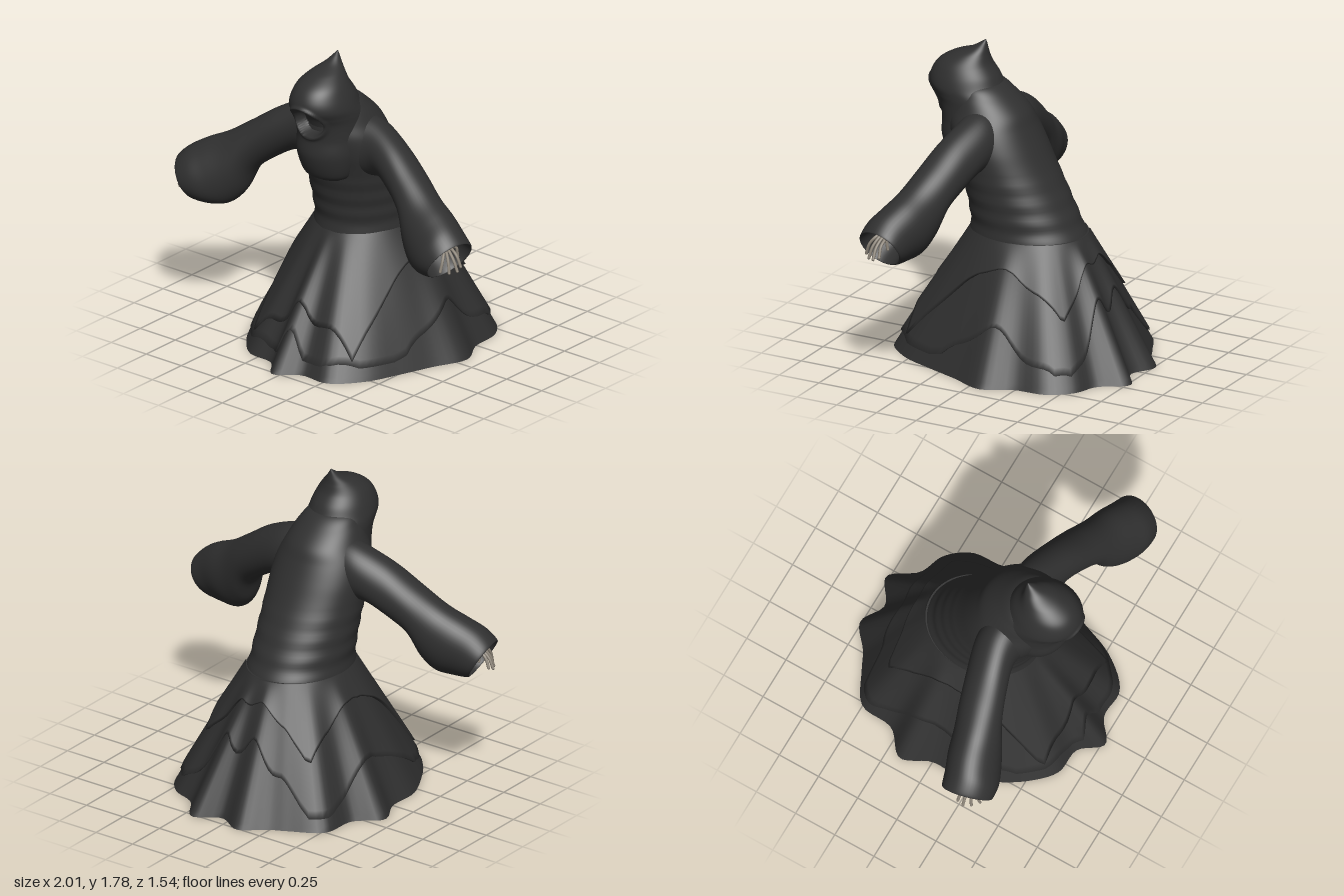
import * as THREE from 'three';

const V = (x, y, z) => new THREE.Vector3(x, y, z);
const COLS = 128;

// Skin over closed rings of points, with optional flat end caps
function loft(rings, capStart, capEnd) {
  const n = rings[0].length, pos = [], idx = [];
  rings.forEach(r => r.forEach(p => pos.push(p.x, p.y, p.z)));
  for (let i = 0; i < rings.length - 1; i++) {
    for (let j = 0; j < n; j++) {
      const k = (j + 1) % n, a = i * n + j, b = i * n + k, c = a + n, d = b + n;
      idx.push(a, b, d, a, d, c);
    }
  }
  const cap = (ring, flip) => {
    const base = pos.length / 3, mid = V(0, 0, 0);
    ring.forEach(p => { pos.push(p.x, p.y, p.z); mid.addScaledVector(p, 1 / n); });
    pos.push(mid.x, mid.y, mid.z);
    for (let j = 0; j < n; j++) {
      const a = base + j, b = base + (j + 1) % n;
      idx.push(base + n, flip ? b : a, flip ? a : b);
    }
  };
  if (capStart) cap(rings[0], true);
  if (capEnd) cap(rings[rings.length - 1], false);
  const g = new THREE.BufferGeometry();
  g.setAttribute('position', new THREE.Float32BufferAttribute(pos, 3));
  g.setIndex(idx);
  g.computeVertexNormals();
  return g;
}

// Upright elliptical rings from rows of [y, halfWidth, zBack, zFront]
function ovalRings(rows, count, rule = p => p) {
  const side = new THREE.CatmullRomCurve3(rows.map(r => V(r[1], r[0], 0)), false, 'catmullrom');
  const depth = new THREE.CatmullRomCurve3(rows.map(r => V(r[2], r[0], r[3])), false, 'catmullrom');
  return Array.from({ length: count + 1 }, (_, i) => {
    const a = side.getPoint(i / count), b = depth.getPoint(i / count);
    return Array.from({ length: COLS }, (_, j) => {
      const t = j / COLS * Math.PI * 2;
      return rule(V(a.x * Math.cos(t), a.y, (b.x + b.z) / 2 - (b.z - b.x) / 2 * Math.sin(t)));
    });
  });
}

// Wavy floor outline of the robe, as [x, z]
const HEM = [
  [.66, -.07], [.58, -.24], [.56, -.43], [.46, -.56], [.32, -.62], [.2, -.77], [.05, -.69], [-.1, -.76],
  [-.24, -.66], [-.34, -.61], [-.52, -.5], [-.55, -.3], [-.68, -.17], [-.61, 0], [-.61, .19], [-.53, .37],
  [-.44, .51], [-.31, .63], [-.15, .65], [-.04, .77], [.1, .68], [.27, .68], [.42, .53], [.51, .32], [.58, .13],
];
const hemLine = new THREE.CatmullRomCurve3(HEM.map(([x, z]) => V(x, 0, z)), true).getPoints(COLS).slice(0, COLS);
const WAIST_Y = 0.73;

// Point on the skirt: t = 0 at the floor, 1 at the waist
function skirtPoint(j, t, out = 0) {
  const h = hemLine[j], a = Math.atan2(h.z + 0.03, h.x);
  const w = V(0.28 * Math.cos(a), WAIST_Y, -0.03 + 0.335 * Math.sin(a));
  const p = h.clone().lerp(w, t);
  return p.add(V(Math.cos(a) * out, 0, Math.sin(a) * out));
}

// Over-skirt with a square handkerchief hem
function overSkirt(hx, back, front, out, wave) {
  const start = hemLine.map((_, j) => {
    let t = 0.1;
    for (; t < 0.9; t += 0.005) {
      const p = skirtPoint(j, t);
      if (Math.abs(p.x) < hx && p.z > back && p.z < front) break;
    }
    return Math.max(0.1, t + wave * Math.sin(j / COLS * Math.PI * 2 * 12));
  });
  const rings = [start.map((t, j) => skirtPoint(j, t, -0.004))];
  for (let i = 0; i <= 16; i++) {
    const f = i / 16;
    rings.push(start.map((t, j) => skirtPoint(j, t + (1 - t) * f, out * (1 - f * 0.8))));
  }
  return loft(rings);
}

// Bell sleeve rings: [topX, topY, bottomX, bottomY, zCentre, zRadius], the last ones turn inside
const SLEEVE = [
  [.12, 1.44, .2, 1.08, .2, .14], [.25, 1.41, .32, 1.09, .2, .125], [.42, 1.33, .46, 1.01, .24, .125],
  [.58, 1.22, .55, .93, .28, .13], [.72, 1.125, .60, .80, .32, .14], [.84, 1.065, .67, .725, .355, .15],
  [.93, 1.01, .76, .708, .39, .15], [.995, .95, .85, .715, .405, .14], [.975, .945, .84, .735, .405, .125],
  [.85, .97, .74, .8, .38, .1], [.74, .98, .68, .88, .35, .06],
];
function sleeve(s) {
  const top = new THREE.CatmullRomCurve3(SLEEVE.map(r => V(r[0], r[1], r[4])));
  const low = new THREE.CatmullRomCurve3(SLEEVE.map(r => V(r[2], r[3], r[5])));
  top.curveType = low.curveType = 'catmullrom';
  const rings = [];
  for (let i = 0; i <= 60; i++) {
    const a = top.getPoint(i / 60), b = low.getPoint(i / 60), skew = -0.04 * i / 60;
    rings.push(Array.from({ length: 48 }, (_, j) => {
      const t = j / 48 * Math.PI * 2, c = Math.cos(t), q = Math.sin(t) * s;
      return V(s * ((a.x + b.x) / 2 + c * (a.x - b.x) / 2 + q * skew),
        (a.y + b.y) / 2 + c * (a.y - b.y) / 2, a.z + q * b.z);
    }));
  }
  return loft(rings, true, true);
}

export function createModel() {
  const model = new THREE.Group();
  const cloth = new THREE.MeshStandardMaterial({ color: 0x303030 });
  cloth.name = 'charcoal cloth';
  const bone = new THREE.MeshStandardMaterial({ color: 0x8c8478 });
  bone.name = 'bone grey';
  const add = (name, geometry, material = cloth, parent = model) => {
    const m = new THREE.Mesh(geometry, material);
    m.name = name;
    parent.add(m);
    return m;
  };

  // Skirt and its two over-layers
  const skirtRings = [];
  for (let i = 0; i <= 24; i++) skirtRings.push(hemLine.map((_, j) => skirtPoint(j, i / 24)));
  add('skirt', loft(skirtRings, true, true));
  add('middleSkirtLayer', overSkirt(0.5, -0.53, 0.64, 0.016, 0.035));
  add('upperSkirtLayer', overSkirt(0.345, -0.42, 0.54, 0.026, 0.01));

  // Torso, with soft folds around the waist
  const fold = p => {
    const k = 1 + 0.009 * Math.sin(p.y * 62) * THREE.MathUtils.smoothstep(1.12 - p.y, 0, 0.1);
    return V(p.x * k, p.y, p.z * k);
  };
  add('torso', loft(ovalRings([
    [.70, .285, -.37, .32], [.76, .275, -.335, .31], [.9, .275, -.26, .33], [1.1, .28, -.15, .38],
    [1.22, .28, -.09, .42], [1.32, .26, -.04, .44], [1.4, .22, 0, .44], [1.48, .18, .08, .42],
    [1.54, .13, .16, .38], [1.56, .02, .24, .3],
  ], 72, fold), true, true));

  // Pointed hood and front cowl, pushed in to form the face opening
  const hollow = p => {
    if (p.z > 0.35) {
      const d = Math.hypot(p.x / 0.1, (p.y - 1.44) / 0.09);
      p.z -= 0.07 * (1 - THREE.MathUtils.smoothstep(d, 0.82, 1));
      p.z += 0.012 * Math.exp(-Math.pow((d - 1.12) / 0.1, 2));
    }
    return p;
  };
  add('hood', loft(ovalRings([
    [1.06, .1, .25, .4], [1.1, .15, .2, .455], [1.22, .183, .15, .5], [1.33, .187, .12, .5],
    [1.42, .188, .1, .52], [1.47, .188, .11, .55], [1.52, .183, .15, .58], [1.58, .165, .18, .572],
    [1.64, .135, .22, .53], [1.69, .092, .235, .45], [1.73, .047, .24, .345], [1.765, .018, .245, .285],
    [1.785, .002, .25, .255],
  ], 120, hollow), true, true));

  // Sleeves and bony hands
  for (const s of [1, -1]) {
    const side = s > 0 ? 'left' : 'right';
    add(side + 'Sleeve', sleeve(s));
    const hand = new THREE.Group();
    hand.name = side + 'Hand';
    model.add(hand);
    const limb = (name, pts, r) => add(name, new THREE.TubeGeometry(
      new THREE.CatmullRomCurve3(pts.map(p => V(p[0] * s, p[1], p[2]))), 12, r, 8), bone, hand);
    limb('wrist', [[.7, .93, .35], [.8, .92, .37], [.88, .9, .385]], 0.018);
    const palm = add('palm', new THREE.SphereGeometry(1, 16, 10), bone, hand);
    palm.scale.set(0.04, 0.016, 0.045);
    palm.position.set(0.88 * s, 0.895, 0.395);
    palm.rotation.z = -0.5 * s;
    // Four fingers, then the thumb: [tipX, tipY, tipZ, knuckleZ]
    [[.93, .79, .49, .44], [.965, .78, .455, .42], [.99, .785, .415, .4], [.985, .8, .38, .375], [.94, .84, .35, .36]]
      .forEach(([x, y, z, k], i) => {
        limb(i < 4 ? 'finger' : 'thumb',
          [[.87, .9, k - .01], [.91, .89, k], [(x + .93) / 2, y + .06, (z + k) / 2 + .005], [x, y, z]], 0.0085);
        const tip = add('fingertip', new THREE.SphereGeometry(0.0085, 8, 6), bone, hand);
        tip.position.set(x * s, y, z);
      });
  }
  return model;
}
